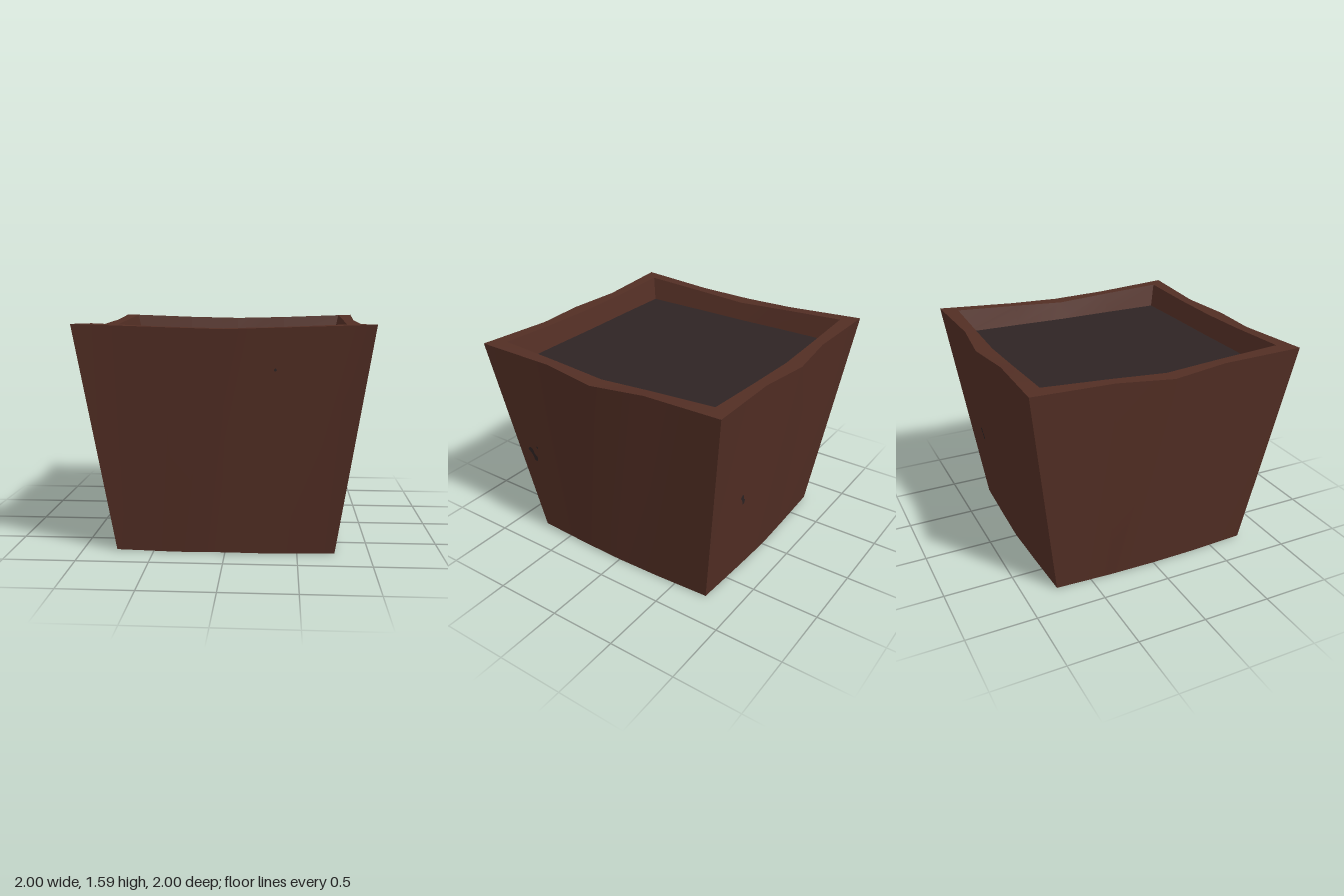
import * as THREE from 'three';
import { toCreasedNormals } from 'three/addons/utils/BufferGeometryUtils.js';

const wood = new THREE.MeshStandardMaterial({ color: 0x522e24 });
wood.name = 'dark brown wood';
const soil = new THREE.MeshStandardMaterial({ color: 0x2e2424 });
soil.name = 'dark soil';

// Each level lists [along, outward, yFrontBack, ySides] at mid, quarter and corner of a side
const LEVELS = {
  base: [[0, 0.79, 0.008, 0.008], [0.34, 0.775, 0, 0], [0.76, 0.76, 0.005, 0.005]],
  rimOuter: [[0, 1, 1.56, 1.54], [0.4, 0.956, 1.57, 1.565], [0.983, 0.983, 1.59, 1.59]],
  rimInner: [[0, 0.882, 1.56, 1.54], [0.4, 0.875, 1.57, 1.565], [0.87, 0.87, 1.59, 1.59]],
  soilEdge: [[0, 0.843, 1.41, 1.41], [0.4, 0.838, 1.415, 1.415], [0.828, 0.828, 1.42, 1.42]],
};

// Turn a point on the front side to side k: 0 front, 1 left (+x), 2 back, 3 right (-x)
const turn = (x, y, z, k) => new THREE.Vector3(x, y, z).applyAxisAngle(new THREE.Vector3(0, 1, 0), k * Math.PI / 2);

// Sixteen points round the planter at one level
function ring(level) {
  const points = [];
  for (let k = 0; k < 4; k++) {
    for (const [i, s] of [[2, -1], [1, -1], [0, 1], [1, 1]]) {
      const [a, d, yFront, ySide] = level[i];
      points.push(turn(s * a, k % 2 ? ySide : yFront, d, k));
    }
  }
  return points;
}

function meshFrom(name, triangles, material) {
  const geometry = toCreasedNormals(new THREE.BufferGeometry().setFromPoints(triangles), 0.5);
  const mesh = new THREE.Mesh(geometry, material);
  mesh.name = name;
  return mesh;
}

// Band between two rings
function band(name, lower, upper) {
  const a = ring(lower), b = ring(upper), out = [];
  a.forEach((p, i) => {
    const j = (i + 1) % a.length;
    out.push(p, a[j], b[j], p, b[j], b[i]);
  });
  return meshFrom(name, out, wood);
}

// Fan that closes a ring
function cap(name, level, y, up, material) {
  const pts = ring(level), centre = new THREE.Vector3(0, y, 0), out = [];
  pts.forEach((p, i) => {
    const q = pts[(i + 1) % pts.length];
    out.push(centre, ...(up ? [p, q] : [q, p]));
  });
  return meshFrom(name, out, material);
}

// Outward distance of a wall at height y and position x along it
function wallDistance(x, y) {
  const t = y / 1.57;
  const p = LEVELS.base.map((b, i) => [0, 1].map((c) => b[c] + (LEVELS.rimOuter[i][c] - b[c]) * t));
  const i = Math.abs(x) < p[1][0] ? 0 : 1;
  const f = (Math.abs(x) - p[i][0]) / (p[i + 1][0] - p[i][0]);
  return p[i][1] + (p[i + 1][1] - p[i][1]) * f;
}

// Soil stain laid on a wall
function stain(side, x, y, outline) {
  const shape = new THREE.Shape();
  shape.setFromPoints(new THREE.SplineCurve(outline.map(([u, v]) => new THREE.Vector2(u, v))).getPoints(24));
  const geometry = new THREE.ShapeGeometry(shape);
  const pos = geometry.attributes.position;
  for (let i = 0; i < pos.count; i++) {
    const px = x + pos.getX(i), py = y + pos.getY(i);
    const p = turn(px, py, wallDistance(px, py) + 0.004, side);
    pos.setXYZ(i, p.x, p.y, p.z);
  }
  geometry.computeVertexNormals();
  const mesh = new THREE.Mesh(geometry, soil);
  mesh.name = 'stain';
  return mesh;
}

export function createModel() {
  const group = new THREE.Group();
  group.name = 'planter';
  group.add(
    band('outerWalls', LEVELS.base, LEVELS.rimOuter),
    band('rim', LEVELS.rimOuter, LEVELS.rimInner),
    band('innerWalls', LEVELS.rimInner, LEVELS.soilEdge),
    cap('soil', LEVELS.soilEdge, 1.42, true, soil),
    cap('base', LEVELS.base, 0.005, false, wood),
  );

  // Small dark stains on the walls
  const blob = [[-0.04, 0.03], [-0.02, 0.01], [0, -0.02], [0.01, -0.055], [0.035, -0.055],
    [0.042, -0.02], [0.018, 0.005], [0.01, 0.04], [-0.015, 0.058], [-0.04, 0.03]];
  const dot = [[-0.01, 0], [0, -0.01], [0.01, 0], [0, 0.01], [-0.01, 0]];
  group.add(
    stain(1, -0.73, 0.72, blob),
    stain(1, -0.67, 0.795, dot),
    stain(2, -0.47, 0.7, blob.map(([u, v]) => [u * 0.8, v * 0.8])),
    stain(0, 0.34, 1.295, dot),
  );
  return group;
}
